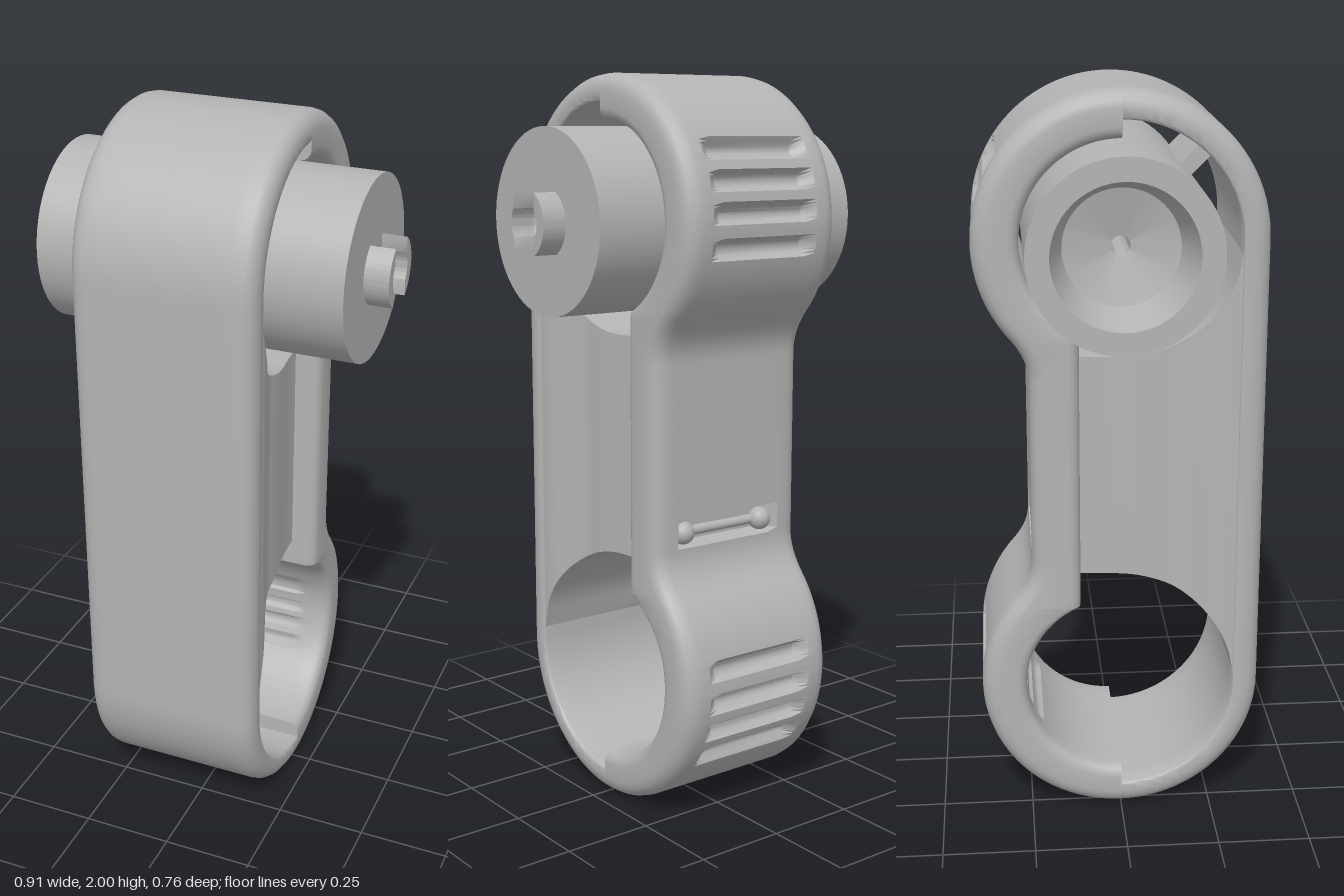
import * as THREE from 'three';
import { toCreasedNormals } from 'three/addons/utils/BufferGeometryUtils.js';

const CX = -0.043, HALF = 0.251;      // body centre and half width along x
const UP = 1.62, SUM = 2.005;         // upper ring centre; upper + lower centre heights
const R = 0.382;                      // outer ring radius
const V2 = (z, y) => new THREE.Vector2(z, y);
const polar = (r, deg, side) => {
  const a = THREE.MathUtils.degToRad(deg);
  return V2(side * r * Math.sin(a), UP + r * Math.cos(a));
};
const flip = (p) => V2(p.x, SUM - p.y);

// Skin a list of equal-length closed rings and cap both ends
function loft(rings) {
  const n = rings[0].length, pos = [], idx = [];
  rings.forEach((r) => r.forEach((p) => pos.push(p.x, p.y, p.z)));
  for (let i = 0; i < rings.length - 1; i++) {
    for (let j = 0; j < n; j++) {
      const a = i * n + j, b = i * n + (j + 1) % n, c = a + n, d = b + n;
      idx.push(a, c, b, b, c, d);
    }
  }
  [0, rings.length - 1].forEach((i, end) => {
    const m = new THREE.Vector3();
    rings[i].forEach((p) => m.addScaledVector(p, 1 / n));
    const ci = pos.length / 3;
    pos.push(m.x, m.y, m.z);
    for (let j = 0; j < n; j++) {
      const a = i * n + j, b = i * n + (j + 1) % n;
      idx.push(ci, end ? b : a, end ? a : b);
    }
  });
  const g = new THREE.BufferGeometry();
  g.setAttribute('position', new THREE.Float32BufferAttribute(pos, 3));
  g.setIndex(idx);
  return toCreasedNormals(g, 0.6);
}

// Rounded rectangular section: x, distance k from the outer or inner face, groove mask
function section(ro, ri) {
  const pts = [];
  const corner = (r, side, inner, rising) => {
    for (let s = 0; s <= 4; s++) {
      const a = (rising ? s : 4 - s) / 4 * Math.PI / 2;
      pts.push({ x: side * (HALF - r + r * Math.cos(a)), k: r - r * Math.sin(a), inner, mask: 0 });
    }
  };
  const face = (dir, inner) => [-0.175, -0.14, 0, 0.14, 0.175].forEach((x) =>
    pts.push({ x: x * dir, k: 0, inner, mask: Math.abs(x) < 0.17 ? 1 : 0 }));
  corner(ro, -1, false, true);
  face(1, false);
  corner(ro, 1, false, false);
  corner(ri, 1, true, true);
  face(-1, true);
  corner(ri, -1, true, false);
  return pts;
}

// Sweep the section along rows of paired outer and inner points
function sweep(rows, sec) {
  return loft(rows.map(({ o, i, g = 0, gi = 0 }) => {
    const dir = i.clone().sub(o).normalize();
    return sec.map(({ x, k, inner, mask }) => {
      const p = inner ? i.clone().addScaledVector(dir, -(k + mask * gi))
        : o.clone().addScaledVector(dir, k + mask * g);
      return new THREE.Vector3(CX + x, p.y, p.x);
    });
  }));
}

// Front shell: two half rings joined by a straight wall
function frontShell() {
  const half = [];
  for (let a = 0; a <= 90; a += 3) half.push({ o: polar(R, a, 1), i: polar(0.308, a, 1) });
  const low = half.map(({ o, i }) => ({ o: flip(o), i: flip(i) })).reverse();
  return sweep([...half, ...low], section(0.045, 0.01));
}

// Rear clip: two grooved rings joined by a flat waist
function rearClip() {
  const half = [];
  for (let a = 0; a <= 130; a += 1.25) {
    const near = Math.min(...[60, 73, 86, 99].map((c) => Math.abs(a - c)));
    const cut = Math.sqrt(Math.max(0, 1 - (near / 4) ** 2));
    const t = THREE.MathUtils.smoothstep(a, 90, 130);
    half.push({ o: polar(R, a, -1), i: polar(0.26, a + 24.7 * t, -1), g: 0.03 * cut, gi: 0.012 * cut });
  }
  const fillet = new THREE.QuadraticBezierCurve(polar(R, 130, -1), V2(-0.24, 1.315), V2(-0.24, 1.255));
  for (let s = 1; s <= 8; s++) half.push({ o: fillet.getPoint(s / 8), i: V2(-0.11, 1.38 - 0.125 * s / 8) });
  const waist = [[0.835, 0], [0.825, 0.05], [0.765, 0.05], [0.755, 0]].map(([y, g]) =>
    ({ o: V2(-0.24, y), i: V2(-0.11, y), g }));
  const low = half.map((r) => ({ ...r, o: flip(r.o), i: flip(r.i) })).reverse();
  return sweep([...half, ...waist, ...low].reverse(), section(0.045, 0.03));
}

// Web between the rings, slightly recessed and flaring out to meet the front wall
function web() {
  const rings = [];
  for (let s = 0; s <= 40; s++) {
    const z = -0.11 + 0.43 * s / 40;
    const y = UP - Math.sqrt(Math.max(0, 0.31 ** 2 - Math.max(0, z) ** 2));
    const w = 0.18 + 0.02 * THREE.MathUtils.smoothstep(z, -0.11, 0.12)
      + 0.045 * THREE.MathUtils.smoothstep(z, 0.12, 0.3);
    rings.push([[-w, y], [w, y], [w, SUM - y], [-w, SUM - y]]
      .map(([x, h]) => new THREE.Vector3(CX + x, h, z)));
  }
  return loft(rings);
}

// Round plug: dished at one end, small bore through the middle
function plugBody() {
  const profile = [[0.025, -0.3], [0.15, -0.33], [0.185, -0.455], [0.245, -0.455],
    [0.245, 0.385], [0.06, 0.385], [0.025, 0.32], [0.025, -0.3]];
  const g = new THREE.LatheGeometry(profile.map(([r, h]) => V2(r, h)), 64);
  return toCreasedNormals(g.rotateZ(-Math.PI / 2), 0.6);
}

// Curved drive prong with parallel slot walls
function prong(turn) {
  const slot = 0.048, ro = 0.093, ri = 0.06;
  const a = Math.acos(slot / ro), b = Math.acos(slot / ri);
  const s = new THREE.Shape();
  s.absarc(0, 0, ro, -a, a, false);
  s.absarc(0, 0, ri, b, -b, true);
  const g = new THREE.ExtrudeGeometry(s, { depth: 0.072, bevelEnabled: false, curveSegments: 16 });
  return toCreasedNormals(g.rotateZ(turn).rotateY(Math.PI / 2), 0.6);
}

export function createModel() {
  const model = new THREE.Group();
  const grey = new THREE.MeshStandardMaterial({ color: 0xb4b4b4 });
  grey.name = 'plain grey';
  const add = (name, geometry, parent = model) => {
    const mesh = new THREE.Mesh(geometry, grey);
    mesh.name = name;
    parent.add(mesh);
    return mesh;
  };

  add('frontShell', frontShell());
  add('rearClip', rearClip());
  add('web', web());

  // Latch bar and knobs in the waist slot
  const bar = add('latchBar', new THREE.CylinderGeometry(0.014, 0.014, 0.28, 12).rotateZ(Math.PI / 2));
  bar.position.set(CX, 0.79, -0.2);
  for (const side of [-1, 1]) {
    add('latchKnob', new THREE.SphereGeometry(0.032, 16, 12)).position.set(CX + side * 0.135, 0.79, -0.208);
  }

  // Small supports between the front shell and the plug
  for (const side of [-1, 1]) {
    const tab = add('supportTab', new THREE.BoxGeometry(0.3, 0.04, 0.085));
    tab.position.set(CX, UP + side * 0.198, 0.198);
    tab.rotation.x = -side * Math.PI / 4;
  }

  const plug = new THREE.Group();
  plug.name = 'plug';
  plug.position.set(0, UP, -0.005);
  add('plugBody', plugBody(), plug);
  for (const turn of [0, Math.PI]) add('driveProng', prong(turn), plug).position.x = 0.38;
  model.add(plug);
  return model;
}
